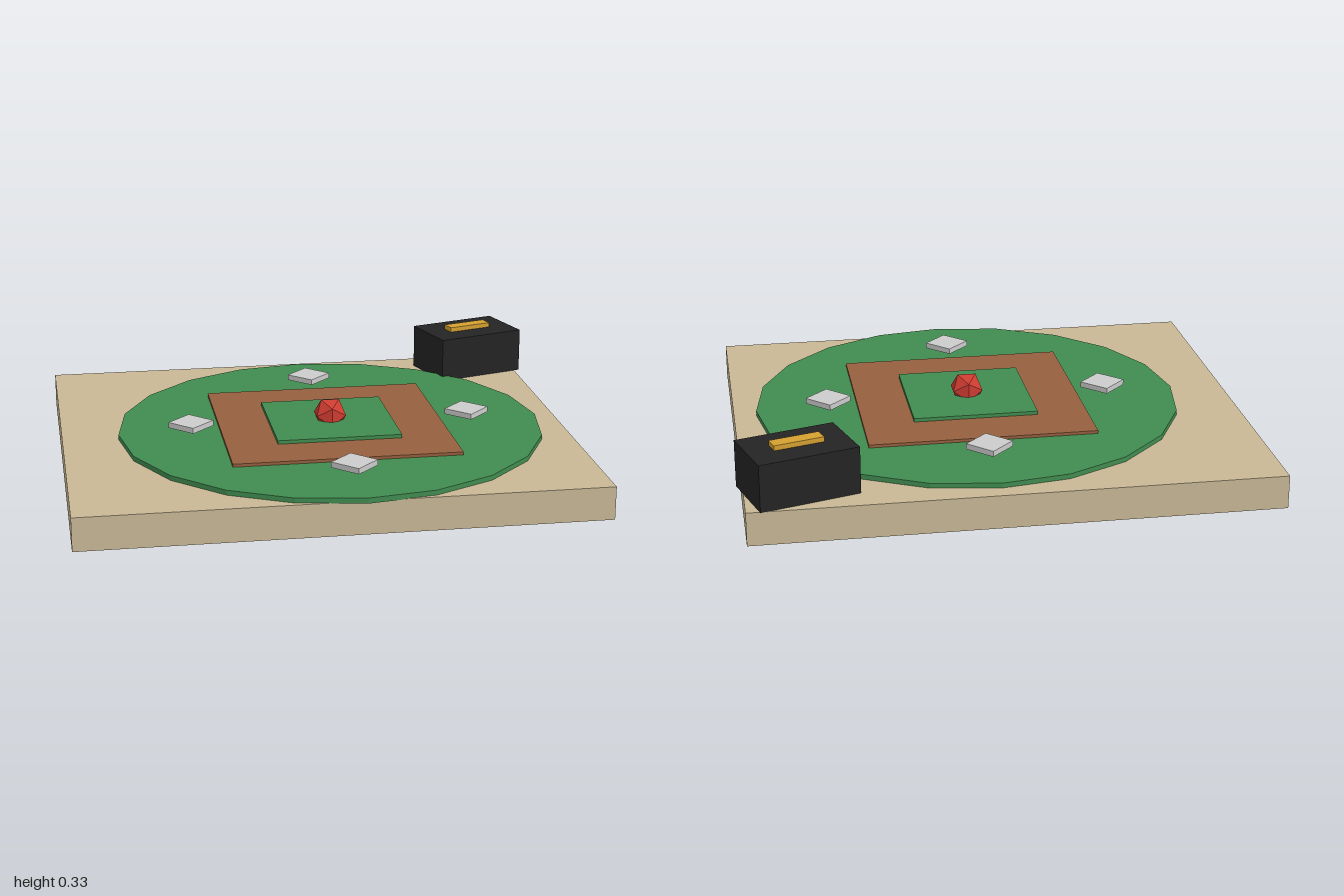
import * as THREE from 'three';

// Centre of the playing field on the board
const CX = 0.05, CZ = 0.033;

const material = (color) => new THREE.MeshStandardMaterial({ color, flatShading: true });
const sand = material(0xc8b896);
const grass = material(0x418c50);
const dirt = material(0x96603e);
const grey = material(0xcccccc);
const black = material(0x242424);
const gold = material(0xd4a030);
const red = material(0xcc3b30);

function add(parent, name, geometry, mat, x, y, z) {
  const mesh = new THREE.Mesh(geometry, mat);
  mesh.name = name;
  mesh.position.set(x, y, z);
  parent.add(mesh);
  return mesh;
}

// Box given by its bottom and top heights
function slab(parent, name, w, d, y0, y1, mat, x, z) {
  return add(parent, name, new THREE.BoxGeometry(w, y1 - y0, d), mat, x, (y0 + y1) / 2, z);
}

export function createModel() {
  const model = new THREE.Group();
  model.name = 'ballField';

  // Ground board
  slab(model, 'groundBoard', 1.97, 1.71, 0, 0.128, sand, -0.015, -0.01);

  // Twenty-sided outfield, slightly sunk into the board
  add(model, 'outfield', new THREE.CylinderGeometry(0.833, 0.833, 0.021, 20), grass, CX, 0.1365, CZ);

  // Stepped infield
  slab(model, 'dirtInfield', 0.876, 0.876, 0.14, 0.159, dirt, CX, CZ);
  slab(model, 'grassInfield', 0.483, 0.483, 0.15, 0.173, grass, CX, CZ);

  // Four diamond-turned bases hovering just above the grass
  for (let i = 0; i < 4; i++) {
    const a = (i * Math.PI) / 2;
    const base = slab(model, 'base' + (i + 1), 0.124, 0.124, 0.166, 0.188, grey,
      CX + 0.55 * Math.cos(a), CZ + 0.55 * Math.sin(a));
    base.rotation.y = Math.PI / 4;
  }

  // Faceted ball in the middle
  add(model, 'ball', new THREE.IcosahedronGeometry(0.068, 0), red, CX, 0.192, CZ);

  // Turned box with a raised bar on its lid
  const box = new THREE.Group();
  box.name = 'cornerBox';
  box.position.set(0.773, 0, -0.695);
  box.rotation.y = 0.295;
  slab(box, 'boxBody', 0.38, 0.254, 0.128, 0.307, black, 0, 0);
  slab(box, 'boxBar', 0.19, 0.055, 0.3, 0.326, gold, 0, 0);
  model.add(box);

  return model;
}
